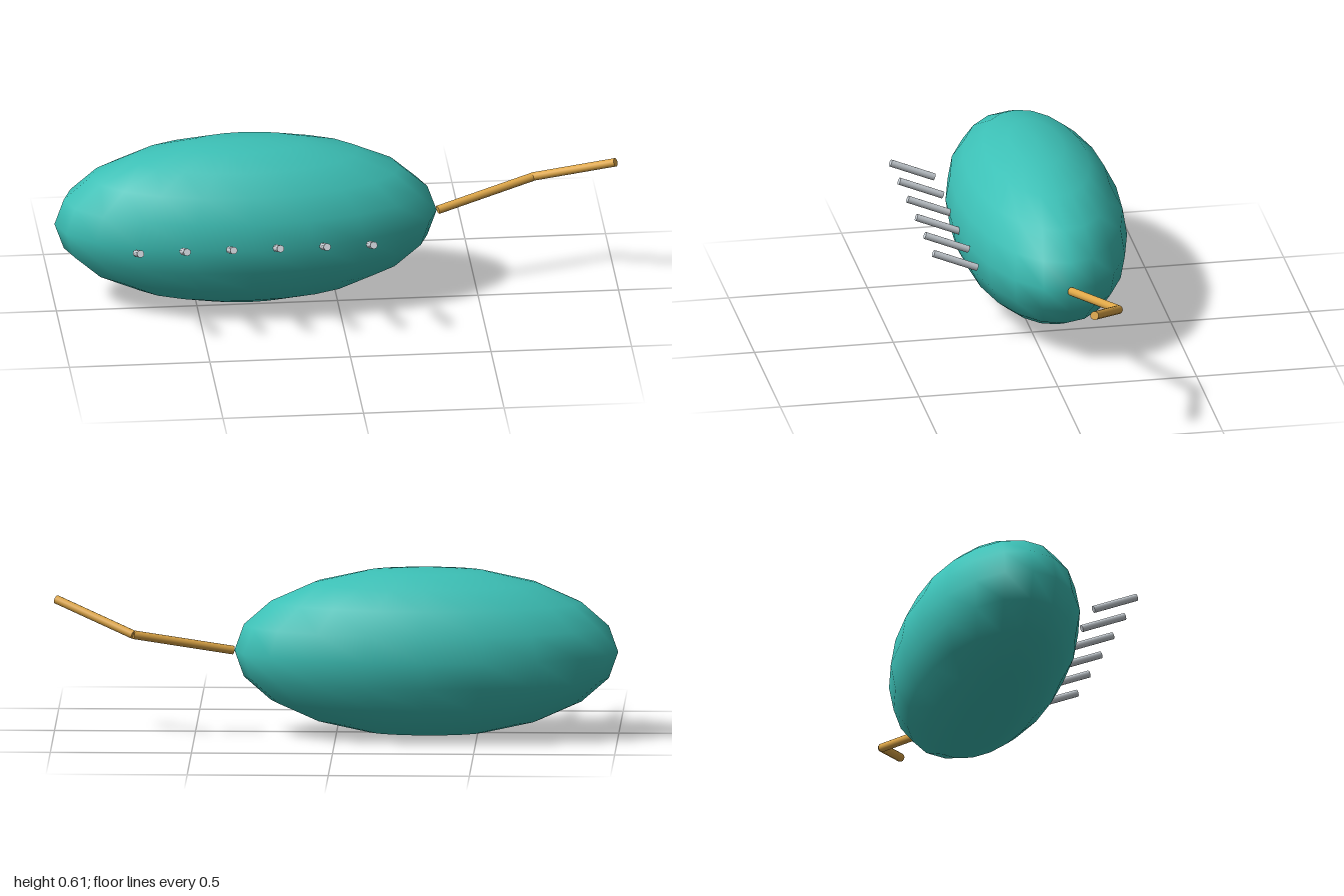
import * as THREE from 'three';

// Straight round rod between two points
function rod(name, from, to, radius, material) {
  const a = new THREE.Vector3(...from);
  const b = new THREE.Vector3(...to);
  const dir = b.clone().sub(a);
  const mesh = new THREE.Mesh(new THREE.CylinderGeometry(radius, radius, dir.length(), 12), material);
  mesh.position.copy(a).add(b).multiplyScalar(0.5);
  mesh.quaternion.setFromUnitVectors(new THREE.Vector3(0, 1, 0), dir.normalize());
  mesh.name = name;
  return mesh;
}

export function createModel() {
  const model = new THREE.Group();
  const teal = new THREE.MeshStandardMaterial({ color: 0x3cc0b6 });
  const gold = new THREE.MeshStandardMaterial({ color: 0xe0a848 });
  const silver = new THREE.MeshStandardMaterial({ color: 0xcfd6dc });

  // Long rounded body
  const body = new THREE.Mesh(new THREE.SphereGeometry(1, 20, 10), teal);
  body.scale.set(0.68, 0.303, 0.303);
  body.position.set(-0.32, 0.303, -0.075);
  body.name = 'body';
  model.add(body);

  // Row of pins along the front, tilted upwards
  const pins = new THREE.Group();
  pins.name = 'pins';
  for (let i = 0; i < 6; i++) {
    const x = -0.735 + i * 0.166;
    pins.add(rod('pin', [x, 0.306, 0.2155], [x, 0.372, 0.373], 0.013, silver));
  }
  model.add(pins);

  // Bent tail in two straight lengths
  const tail = new THREE.Group();
  tail.name = 'tail';
  const elbow = [0.715, 0.373, -0.179];
  tail.add(rod('tailBase', [0.364, 0.303, -0.075], elbow, 0.0155, gold));
  tail.add(rod('tailTip', elbow, [0.993, 0.477, -0.04], 0.0155, gold));
  model.add(tail);

  return model;
}
